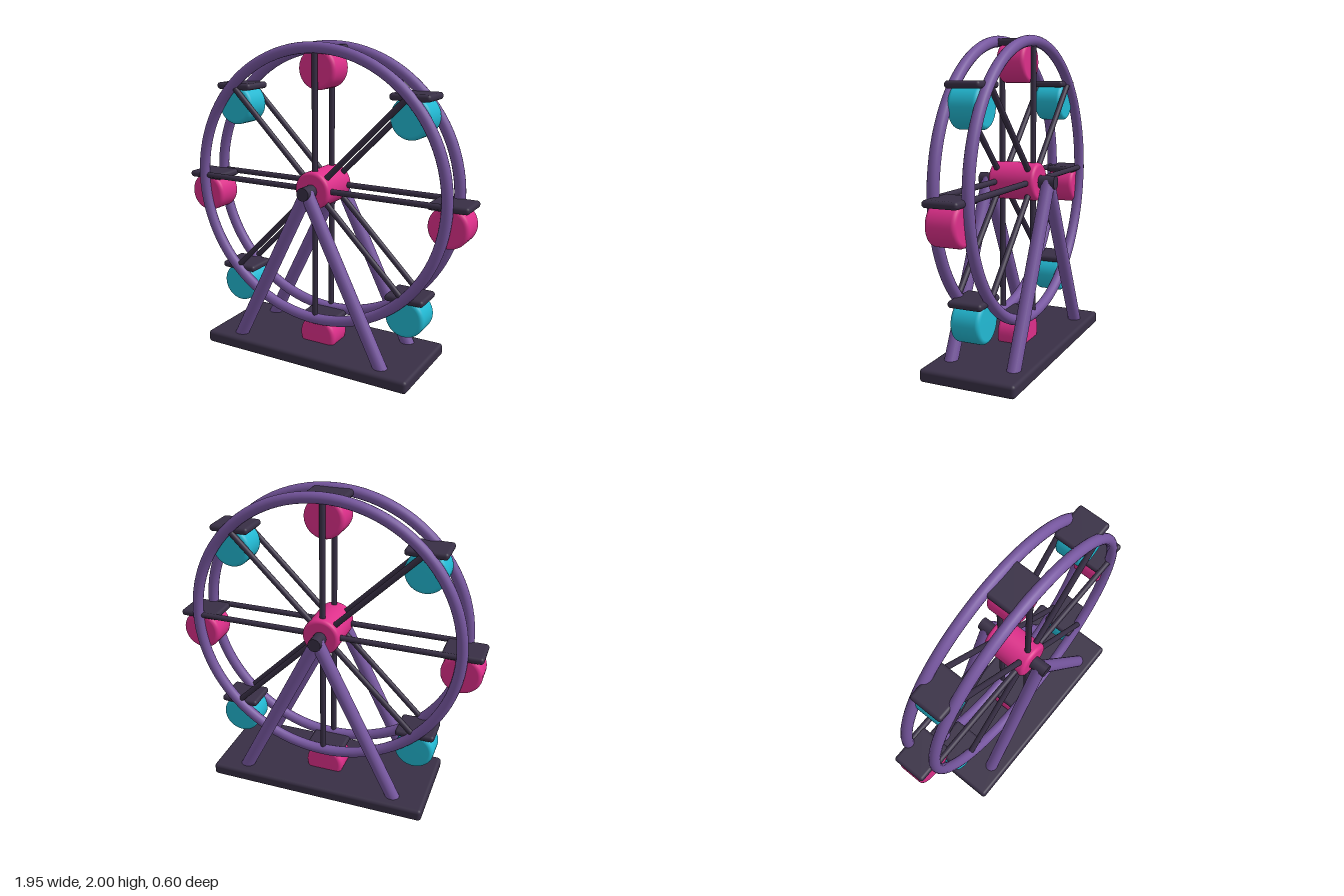
import * as THREE from 'three';
import { RoundedBoxGeometry } from 'three/addons/geometries/RoundedBoxGeometry.js';

const material = (name, color) => {
  const m = new THREE.MeshStandardMaterial({ color });
  m.name = name;
  return m;
};

const AXLE_Y = 1.117; // wheel centre height
const RIM_R = 0.849; // radius of the rim centre line
const RIM_Z = 0.104; // distance of each rim from the middle

export function createModel() {
  const purple = material('purple', 0x7757a0);
  const dark = material('dark plum', 0x382f45);
  const pink = material('pink', 0xdd2f8a);
  const cyan = material('cyan', 0x22b9d3);

  const group = new THREE.Group();
  group.name = 'ferrisWheel';

  const add = (parent, name, geometry, mat, x = 0, y = 0, z = 0) => {
    const mesh = new THREE.Mesh(geometry, mat);
    mesh.name = name;
    mesh.position.set(x, y, z);
    parent.add(mesh);
    return mesh;
  };

  // Round bar between two points
  const bar = (parent, name, a, b, radius, mat) => {
    const dir = b.clone().sub(a);
    const mesh = add(parent, name, new THREE.CylinderGeometry(radius, radius, dir.length(), 20), mat);
    mesh.position.copy(a).add(b).multiplyScalar(0.5);
    mesh.quaternion.setFromUnitVectors(new THREE.Vector3(0, 1, 0), dir.normalize());
    return mesh;
  };

  // Drum along z with softly rounded edges
  const drum = (radius, halfDepth, fillet) => {
    const points = [new THREE.Vector2(0, -halfDepth)];
    for (const side of [-1, 1]) {
      for (let i = 0; i <= 6; i++) {
        const a = (side < 0 ? i - 6 : i) * Math.PI / 12;
        points.push(new THREE.Vector2(
          radius - fillet + fillet * Math.cos(a),
          side * (halfDepth - fillet) + fillet * Math.sin(a)));
      }
    }
    points.push(new THREE.Vector2(0, halfDepth));
    return new THREE.LatheGeometry(points, 48).rotateX(Math.PI / 2);
  };

  // Base slab
  add(group, 'base', new RoundedBoxGeometry(1.436, 0.08, 0.604, 4, 0.022), dark, 0, 0.058, 0);

  // A-frame legs on both sides
  for (const z of [-0.204, 0.204]) {
    for (const x of [-0.545, 0.545]) {
      bar(group, 'leg', new THREE.Vector3(x, 0.02, z), new THREE.Vector3(0, AXLE_Y, z), 0.042, purple);
    }
  }

  // Axle and hub
  bar(group, 'axle', new THREE.Vector3(0, AXLE_Y, -0.254), new THREE.Vector3(0, AXLE_Y, 0.254), 0.041, dark);
  add(group, 'hub', drum(0.117, 0.152, 0.022), pink, 0, AXLE_Y, 0);

  // Two rims with eight spokes each
  const wheel = new THREE.Group();
  wheel.name = 'wheel';
  wheel.position.y = AXLE_Y;
  group.add(wheel);
  for (const z of [-RIM_Z, RIM_Z]) {
    add(wheel, 'rim', new THREE.TorusGeometry(RIM_R, 0.034, 16, 96), purple, 0, 0, z);
    for (let i = 0; i < 8; i++) {
      const a = i * Math.PI / 4;
      bar(wheel, 'spoke', new THREE.Vector3(0, 0, z),
        new THREE.Vector3(Math.cos(a) * RIM_R, Math.sin(a) * RIM_R, z), 0.018, dark);
    }
  }

  // Hanging cabins, alternating colours, each under a flat canopy
  const bodyGeometry = drum(0.125, 0.092, 0.026);
  const canopyGeometry = new RoundedBoxGeometry(0.25, 0.042, 0.212, 4, 0.019);
  for (let i = 0; i < 8; i++) {
    const a = i * Math.PI / 4;
    const cabin = new THREE.Group();
    cabin.name = 'cabin';
    cabin.position.set(Math.cos(a) * RIM_R, AXLE_Y + Math.sin(a) * RIM_R, 0);
    add(cabin, 'cabinBody', bodyGeometry, i % 2 ? cyan : pink, 0, -0.125, 0);
    add(cabin, 'canopy', canopyGeometry, dark, 0, -0.008, 0);
    group.add(cabin);
  }

  return group;
}
